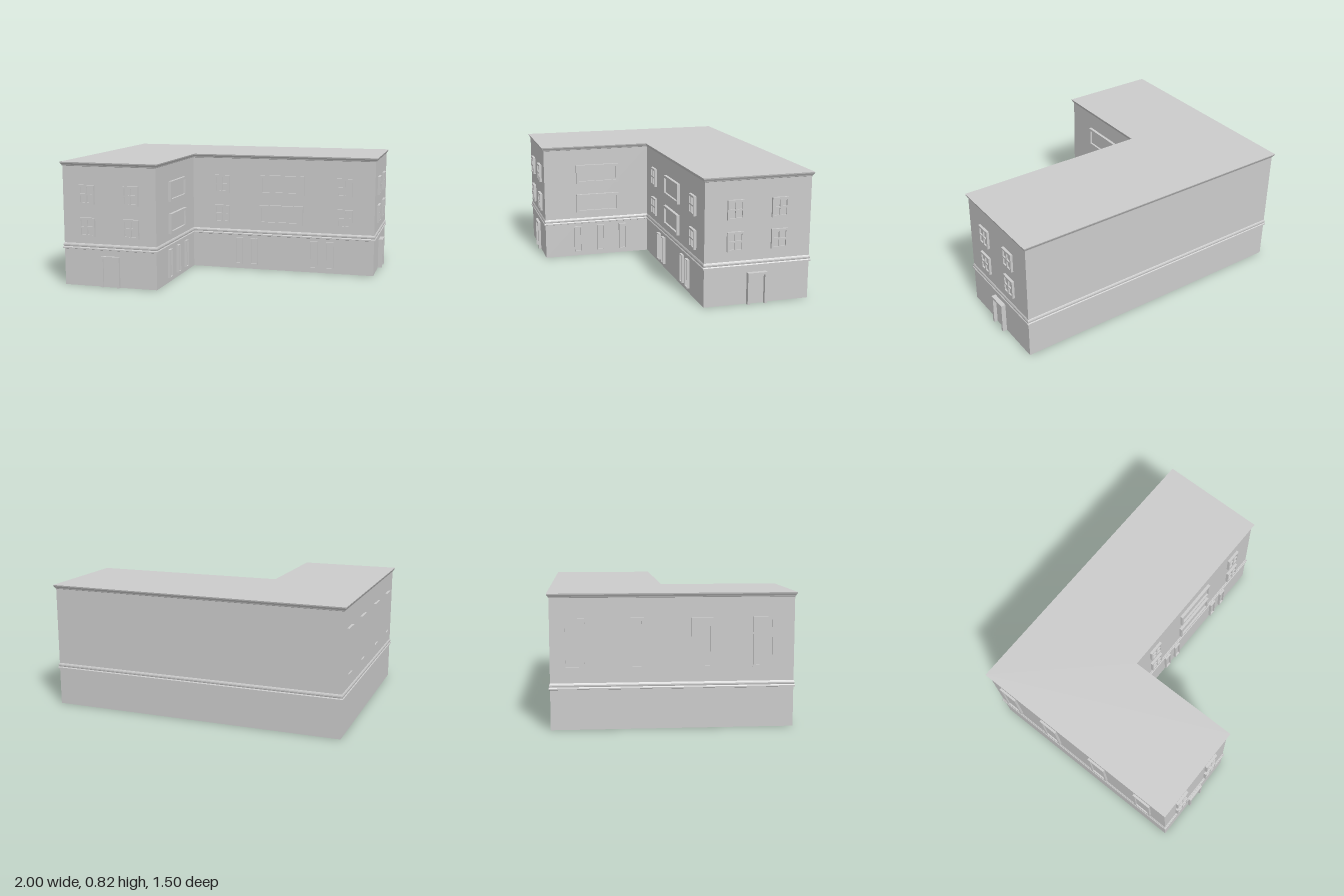
import * as THREE from 'three';

const material = new THREE.MeshStandardMaterial({ color: 0xcccccc, flatShading: true });

// L-shaped footprint, counter-clockwise from above: [x, z, outward x, outward z]
const PLAN = [
  [-0.985, 0.733, -1, 1],
  [-0.337, 0.733, 1, 1],
  [-0.337, -0.037, 1, 1],
  [0.97, -0.037, 1, 1],
  [0.97, -0.739, 1, -1],
  [-0.985, -0.739, -1, -1],
];

// Sweeps a profile of [outset, y] steps around the footprint, with optional caps
function sweepPlan(name, profile, capBottom = false, capTop = false) {
  const n = PLAN.length;
  const pos = [];
  const ring = ([o, y]) => PLAN.map(([x, z, sx, sz]) => new THREE.Vector3(x + sx * o, y, z + sz * o));
  const tri = (...pts) => pts.forEach((p) => pos.push(p.x, p.y, p.z));
  const rings = profile.map(ring);
  for (let j = 0; j < rings.length - 1; j++) {
    for (let i = 0; i < n; i++) {
      const k = (i + 1) % n;
      const a = rings[j][i], b = rings[j][k], c = rings[j + 1][k], d = rings[j + 1][i];
      tri(a, b, c);
      tri(a, c, d);
    }
  }
  const cap = (r, up) => {
    const outline = r.map((p) => new THREE.Vector2(p.x, -p.z));
    for (const [a, b, c] of THREE.ShapeUtils.triangulateShape(outline, [])) {
      if (up) tri(r[a], r[b], r[c]);
      else tri(r[a], r[c], r[b]);
    }
  };
  if (capBottom) cap(rings[0], false);
  if (capTop) cap(rings[rings.length - 1], true);
  const geo = new THREE.BufferGeometry();
  geo.setAttribute('position', new THREE.Float32BufferAttribute(pos, 3));
  geo.computeVertexNormals();
  const mesh = new THREE.Mesh(geo, material);
  mesh.name = name;
  return mesh;
}

function rectPath(Type, x0, y0, x1, y1) {
  return new Type([[x0, y0], [x1, y0], [x1, y1], [x0, y1]].map(([x, y]) => new THREE.Vector2(x, y)));
}

// Raised frame with a recessed panel; cols x rows panes, local origin at bottom centre
function opening(name, w, h, { border = 0.014, bar = 0.01, cols = 1, rows = 1, depth = 0.018, sill = true }) {
  const group = new THREE.Group();
  group.name = name;
  const bottom = sill ? border : 0;
  let shape;
  if (sill) {
    shape = rectPath(THREE.Shape, -w / 2, 0, w / 2, h);
    const pw = (w - 2 * border - (cols - 1) * bar) / cols;
    const ph = (h - 2 * border - (rows - 1) * bar) / rows;
    for (let c = 0; c < cols; c++) {
      for (let r = 0; r < rows; r++) {
        const x = -w / 2 + border + c * (pw + bar);
        const y = border + r * (ph + bar);
        shape.holes.push(rectPath(THREE.Path, x, y, x + pw, y + ph));
      }
    }
  } else {
    // door surround: open at the ground
    const a = w / 2, b = a - border;
    shape = new THREE.Shape([[-a, 0], [-b, 0], [-b, h - border], [b, h - border], [b, 0], [a, 0], [a, h], [-a, h]]
      .map(([x, y]) => new THREE.Vector2(x, y)));
  }
  const frame = new THREE.Mesh(new THREE.ExtrudeGeometry(shape, { depth, bevelEnabled: false }), material);
  frame.name = 'frame';
  const ph = h - border - bottom;
  const panel = new THREE.Mesh(new THREE.BoxGeometry(w - 2 * border, ph, 0.006), material);
  panel.name = 'panel';
  panel.position.set(0, bottom + ph / 2, 0.003);
  group.add(frame, panel);
  return group;
}

const sash = (depth = 0.018) => opening('sashWindow', 0.108, 0.126, { cols: 2, rows: 2, border: 0.013, depth });
const wide = () => opening('wideWindow', 0.314, 0.136, { border: 0.017, depth: 0.02 });
const narrow = () => opening('narrowWindow', 0.052, 0.191, { border: 0.006 });
const tall = () => opening('tallWindow', 0.132, 0.308, { border: 0.017, depth: 0.015 });
const door = (depth) => opening('door', 0.129, 0.206, { border: 0.016, sill: false, depth });

export function createModel() {
  const model = new THREE.Group();
  model.name = 'building';

  // Main body, string course and flared roof edge
  model.add(
    sweepPlan('walls', [[0, 0], [0, 0.8]], true),
    sweepPlan('stringCourse', [[0, 0.244], [0.009, 0.247], [0.009, 0.255], [0.004, 0.261],
      [0.006, 0.267], [0.006, 0.274], [0.003, 0.281], [0, 0.285]]),
    sweepPlan('roofCornice', [[0, 0.795], [0.003, 0.797], [0.005, 0.803], [0.012, 0.814], [0.014, 0.822]], false, true),
  );

  // Places a part on a wall; "along" is x on +z walls and z on the side walls
  const onFront = (z) => (part, x, y) => {
    part.position.set(x, y, z);
    model.add(part);
  };
  const onSide = (x, dir) => (part, z, y) => {
    part.position.set(x, y, z);
    part.rotation.y = dir * Math.PI / 2;
    model.add(part);
  };
  const wingFront = onFront(0.733);
  const courtBack = onFront(-0.037);
  const courtSide = onSide(-0.337, 1);
  const rightEnd = onSide(0.97, 1);
  const leftSide = onSide(-0.985, -1);

  // Front of the projecting wing
  for (const x of [-0.815, -0.508]) {
    wingFront(sash(), x, 0.548);
    wingFront(sash(), x, 0.332);
  }
  wingFront(door(0.019), -0.658, 0);

  // Courtyard wall facing forward
  for (const [x, y] of [[-0.12, 0.548], [-0.118, 0.332], [0.759, 0.548], [0.766, 0.332]]) courtBack(sash(), x, y);
  courtBack(wide(), 0.32, 0.545);
  courtBack(wide(), 0.314, 0.332);
  for (const x of [0.009, 0.118, 0.55, 0.664]) courtBack(narrow(), x, 0.034);

  // Courtyard wall facing sideways
  for (const y of [0.547, 0.329]) courtSide(wide(), 0.344, y);
  for (const z of [0.495, 0.325, 0.158]) courtSide(narrow(), z, 0.034);

  // Right end wall
  for (const z of [-0.236, -0.529]) {
    for (const y of [0.551, 0.35]) rightEnd(sash(0.016), z, y);
  }
  rightEnd(door(0.03), -0.384, 0);

  // Tall windows of the long side wall
  for (const z of [-0.597, -0.243, 0.17, 0.547]) leftSide(tall(), z, 0.367);

  return model;
}
